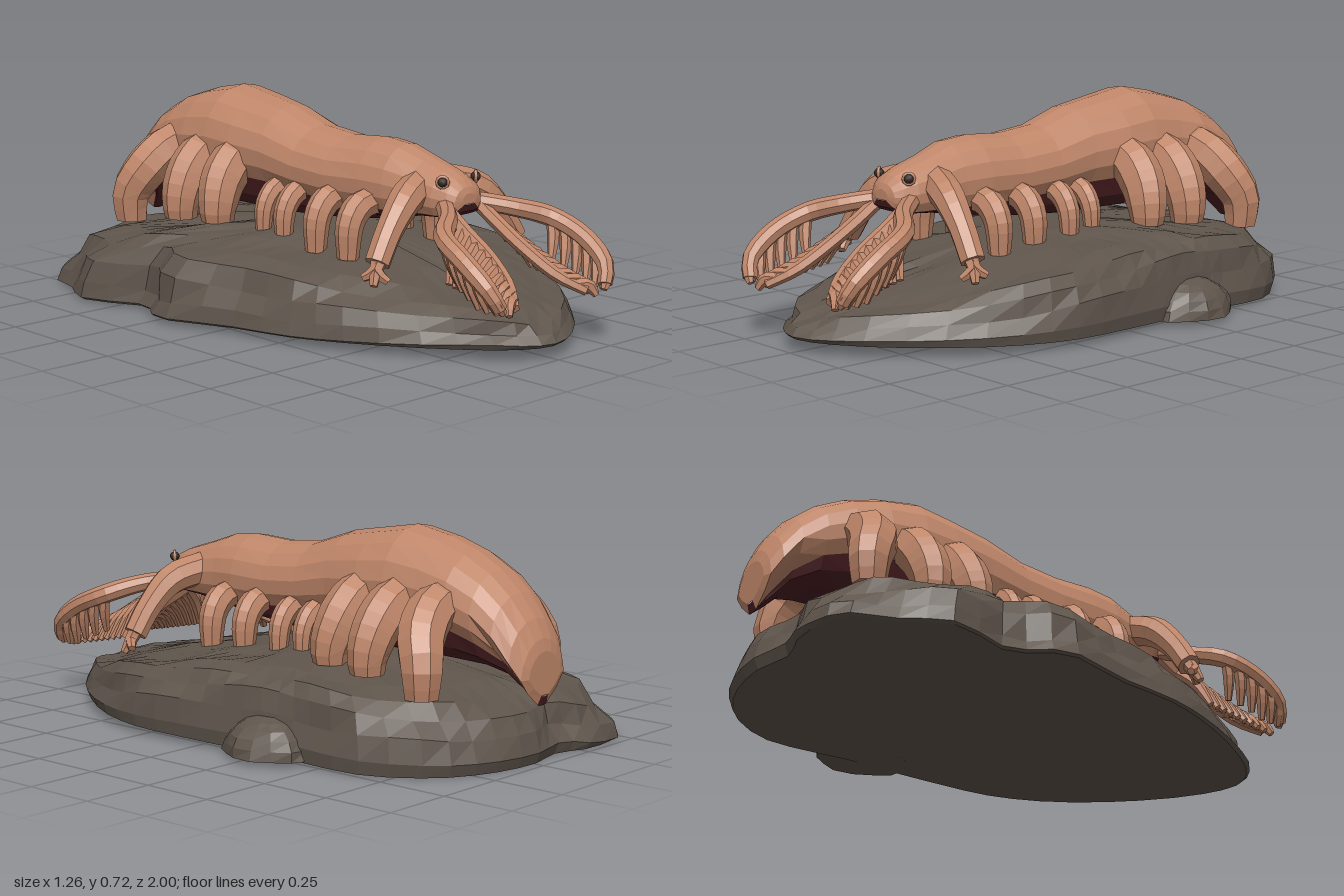
import * as THREE from 'three';

const mat = (name, color) => {
  const m = new THREE.MeshStandardMaterial({ color });
  m.name = name;
  return m;
};
const V = (x, y, z) => new THREE.Vector3(x, y, z);
const { lerp, clamp, degToRad, mapLinear } = THREE.MathUtils;

// Skin a list of equal-length rings; rings run counterclockwise about the sweep direction
function loft(rings, closed = true, caps = true) {
  const n = rings[0].length, pos = rings.flat().flatMap(p => [p.x, p.y, p.z]), idx = [];
  for (let i = 0; i + 1 < rings.length; i++) {
    for (let j = 0; j < (closed ? n : n - 1); j++) {
      const k = (j + 1) % n, a = i * n, b = a + n;
      idx.push(a + j, a + k, b + k, a + j, b + k, b + j);
    }
  }
  const cap = (r, flip) => {
    const c = rings[r].reduce((s, p) => s.add(p), V(0, 0, 0)).divideScalar(n);
    const ci = pos.length / 3;
    pos.push(c.x, c.y, c.z);
    for (let j = 0; j < n; j++) {
      const a = r * n + j, b = r * n + (j + 1) % n;
      flip ? idx.push(b, a, ci) : idx.push(a, b, ci);
    }
  };
  if (caps) {
    cap(0, true);
    cap(rings.length - 1, false);
  }
  const g = new THREE.BufferGeometry();
  g.setAttribute('position', new THREE.Float32BufferAttribute(pos, 3));
  g.setIndex(idx);
  const flat = g.toNonIndexed(); // faceted normals
  flat.computeVertexNormals();
  return flat;
}

// Tube whose radius follows a short list of values
function taperTube(points, radii, steps = 10, sides = 8) {
  const curve = new THREE.CatmullRomCurve3(points);
  const f = curve.computeFrenetFrames(steps);
  const rings = [];
  for (let i = 0; i <= steps; i++) {
    const c = curve.getPointAt(i / steps), t = (i / steps) * (radii.length - 1);
    const k = Math.min(Math.floor(t), radii.length - 2);
    const r = lerp(radii[k], radii[k + 1], t - k);
    rings.push(Array.from({ length: sides }, (_, j) => {
      const a = j / sides * Math.PI * 2;
      return c.clone().addScaledVector(f.normals[i], r * Math.cos(a))
        .addScaledVector(f.binormals[i], r * Math.sin(a));
    }));
  }
  return loft(rings);
}

export function createModel() {
  const root = new THREE.Group();
  root.name = 'crawlingCreatureOnRock';
  const skin = mat('skin', 0xbf8669), belly = mat('belly', 0x4a1e22);
  const stone = mat('stone', 0x5f554c), eyeDark = mat('eyeDark', 0x352822);
  const add = (name, geo, m) => {
    const mesh = new THREE.Mesh(geo, m);
    mesh.name = name;
    root.add(mesh);
    return mesh;
  };

  // Rock: outline shrunk ring by ring while it climbs; steep all round except the gentler right flank
  const outline = new THREE.CatmullRomCurve3([
    [0, 0.99], [0.15, 0.93], [0.35, 0.74], [0.5, 0.5], [0.56, 0.28], [0.555, 0.05], [0.54, -0.15],
    [0.52, -0.32], [0.52, -0.47], [0.5, -0.68], [0.37, -0.86], [0.2, -0.95], [0, -0.98],
    [-0.16, -0.95], [-0.3, -0.99], [-0.5, -0.95], [-0.55, -0.8], [-0.63, -0.63], [-0.55, -0.38],
    [-0.63, -0.22], [-0.55, 0.05], [-0.5, 0.3], [-0.42, 0.5], [-0.27, 0.76], [-0.12, 0.94]
  ].map(([x, z]) => V(x, 0, z)), true).getPoints(56).slice(0, -1);
  const heights = [[-1, 0.2], [-0.8, 0.25], [-0.3, 0.3], [0, 0.285], [0.3, 0.255], [0.6, 0.2], [0.9, 0.145], [1, 0.1]];
  const rockTop = z => {
    let k = 0;
    while (k < heights.length - 2 && z > heights[k + 1][0]) k++;
    const [[z0, h0], [z1, h1]] = [heights[k], heights[k + 1]];
    return mapLinear(clamp(z, -1, 1), z0, z1, h0, h1);
  };
  const rockRings = [[0.985, 0], [1, 0.18], [0.975, 0.48], [0.94, 0.72], [0.87, 0.86], [0.74, 0.92], [0.5, 0.96], [0.25, 1]]
    .map(([s, h], i) => outline.map((p, j) => {
      const wave = Math.sin(j * 1.1 + i * 1.7) + Math.sin(j * 0.53 - i * 2.3);
      const bump = i > 1 && i < 7 ? wave * 0.01 : 0;
      const x = p.x * (s + bump), z = p.z * (s + bump);
      const base = 0.022 + 0.02 * p.z;
      const climb = h ** (1 + 1.1 * clamp((-p.x - 0.2) / 0.3, 0, 1));
      return V(x, base + (rockTop(z) - base) * climb + bump * 0.6, z);
    }));
  add('rock', loft(rockRings), stone);
  // Low boulder leaning on the left flank
  const boulder = Array.from({ length: 6 }, (_, i) => {
    const a = i / 5 * Math.PI / 2 * 0.85;
    return Array.from({ length: 14 }, (_, j) => {
      const b = j / 14 * Math.PI * 2, r = Math.cos(a) * (1 + 0.05 * Math.sin(j * 2.1 + i));
      return V(0.5 + 0.128 * r * Math.sin(b), 0.018 + 0.125 * Math.sin(a), -0.285 + 0.165 * r * Math.cos(b));
    });
  });
  add('boulder', loft(boulder), stone);

  // Body sections, tail to head: z, half width, centre x, top, skin edge, belly bottom
  const sections = [
    [-1.0, 0.085, 0, 0.37, 0.23, 0.225], [-0.99, 0.115, 0, 0.41, 0.2, 0.195], [-0.96, 0.14, 0, 0.47, 0.25, 0.22],
    [-0.9, 0.155, 0, 0.545, 0.335, 0.28], [-0.82, 0.167, -0.005, 0.61, 0.39, 0.3], [-0.72, 0.18, -0.01, 0.66, 0.42, 0.3],
    [-0.6, 0.185, -0.02, 0.695, 0.43, 0.3], [-0.47, 0.19, -0.02, 0.72, 0.43, 0.3], [-0.35, 0.188, -0.02, 0.7, 0.43, 0.3],
    [-0.2, 0.168, -0.025, 0.675, 0.425, 0.3], [-0.05, 0.158, -0.025, 0.625, 0.41, 0.31], [0.1, 0.15, -0.025, 0.61, 0.4, 0.325],
    [0.25, 0.14, -0.02, 0.62, 0.4, 0.345], [0.35, 0.127, -0.02, 0.61, 0.4, 0.365], [0.45, 0.112, -0.01, 0.575, 0.405, 0.385],
    [0.54, 0.1, -0.01, 0.548, 0.405, 0.395], [0.59, 0.085, -0.01, 0.525, 0.41, 0.405], [0.612, 0.06, -0.01, 0.5, 0.425, 0.42],
    [0.62, 0.03, -0.01, 0.48, 0.445, 0.443]
  ];
  const lowSin = Math.sin(degToRad(35)), lowCos = Math.cos(degToRad(35));
  const pinch = z => 0.75 * clamp((-0.85 - z) / 0.12, 0, 1); // the tail narrows to a V below
  const back = sections.map(([z, w, cx, top, edge]) => {
    const mid = edge + 0.35 * (top - edge);
    return Array.from({ length: 13 }, (_, i) => {
      const a = degToRad(-35 + i * 250 / 12), s = Math.sin(a);
      const y = mid + s * (s > 0 ? top - mid : (mid - edge) / lowSin);
      const narrow = 1 - pinch(z) * Math.max(0, (mid - y) / (mid - edge));
      return V(cx + w * Math.cos(a) * narrow, y, z);
    });
  });
  add('bodyShell', loft(back, false), skin);
  const under = sections.map(([z, w, cx, , edge, bottom]) => Array.from({ length: 7 }, (_, i) => {
    const a = Math.PI * (1 + i / 6);
    return V(cx + w * lowCos * (1 - pinch(z)) * Math.cos(a), edge + (edge - bottom) * Math.sin(a), z);
  }));
  add('underbelly', loft(under, false, false), belly);

  for (const side of [1, -1]) {
    const label = side > 0 ? 'left' : 'right';
    const limb = (name, pts, radii, shift = 0, steps = 10, sides = 8) =>
      add(label + name, taperTube(pts.map(([x, y, z]) => V(side * x + shift, y, z)), radii, steps, sides), skin);

    // Eyes with a small lid
    const eye = add(label + 'Eye', new THREE.IcosahedronGeometry(0.017, 1), eyeDark);
    eye.position.set(side * 0.077 - 0.007, 0.518, 0.57);
    const lid = add(label + 'EyeLid', new THREE.TorusGeometry(0.018, 0.006, 6, 10), skin);
    lid.position.copy(eye.position);
    lid.rotation.y = side * 0.8;

    // Large arched rear legs: root z, foot z, reach, foot height
    [[-0.69, -0.75, 0.308, 0.23], [-0.515, -0.505, 0.28, 0.27], [-0.35, -0.33, 0.26, 0.28]].forEach(([z0, z1, r, foot], i) =>
      limb('RearLeg' + (i + 1), [
        [0.08, 0.495, z0], [r * 0.58, 0.488, z0], [r * 0.87, 0.415, lerp(z0, z1, 0.4)], [r, 0.33, z1], [r, foot, z1]
      ], [0.075, 0.08, 0.08, 0.072, 0.056], -0.005));

    // Short middle legs
    [[0.28, 0.24, 0.046], [0.125, 0.24, 0.045], [-0.035, 0.25, 0.037], [-0.138, 0.27, 0.034]].forEach(([z, foot, r], i) =>
      limb('MiddleLeg' + (i + 1), [
        [0.07, 0.42, z], [0.15, 0.41, z], [0.193, 0.36, z], [0.203, foot, z]
      ], [r, r * 1.1, r, r * 0.78], -0.022));

    // Front arms ending in three fingers
    limb('FrontArm', [[0.05, 0.49, 0.44], [0.17, 0.455, 0.485], [0.26, 0.37, 0.505], [0.32, 0.28, 0.515]],
      [0.058, 0.056, 0.045, 0.042]);
    [[0.31, 0.225, 0.555], [0.355, 0.215, 0.535], [0.36, 0.235, 0.49]].forEach((tip, i) =>
      limb('ArmFinger' + (i + 1), [[0.305, 0.3, 0.515], [0.332, 0.26, 0.522], tip], [0.026, 0.023, 0.013], 0, 4, 6));

    // Comb-like feelers: an outer and an inner arm, each carrying a row of spines
    const outer = [[0.065, 0.44, 0.56], [0.15, 0.42, 0.66], [0.25, 0.385, 0.74], [0.28, 0.33, 0.86], [0.272, 0.255, 0.955], [0.245, 0.2, 0.975]];
    const inner = [[0.075, 0.43, 0.58], [0.08, 0.37, 0.67], [0.085, 0.305, 0.78], [0.115, 0.235, 0.89], [0.17, 0.19, 0.965]];
    limb('FeelerOuterArm', outer, [0.03, 0.031, 0.034, 0.033, 0.032, 0.024], 0, 16);
    limb('FeelerInnerArm', inner, [0.024, 0.024, 0.023, 0.022, 0.017], 0, 12, 6);
    const spines = (name, arm, count, t0, t1, tipAt, r) => {
      const path = new THREE.CatmullRomCurve3(arm.map(p => V(...p)));
      for (let i = 0; i < count; i++) {
        const t = i / (count - 1), p = path.getPointAt(lerp(t0, t1, t)), tip = tipAt(t, p);
        limb(name + (i + 1), [
          [p.x, p.y, p.z], [(p.x + tip[0]) / 2 + 0.01, (p.y + tip[1]) / 2 + 0.015, (p.z + tip[2]) / 2], tip
        ], [r, r * 1.1, r * 0.6], 0, 5, 6);
      }
    };
    spines('FeelerInnerSpine', inner, 10, 0.2, 0.92,
      t => [0.195 + 0.01 * t, lerp(0.225, 0.172, t), lerp(0.71, 0.975, t)], 0.02);
    spines('FeelerOuterSpine', outer, 7, 0.45, 0.92,
      (t, p) => [p.x - 0.03, Math.max(p.y - 0.14, 0.185), Math.min(p.z + 0.03, 0.98)], 0.019);
  }
  return root;
}
